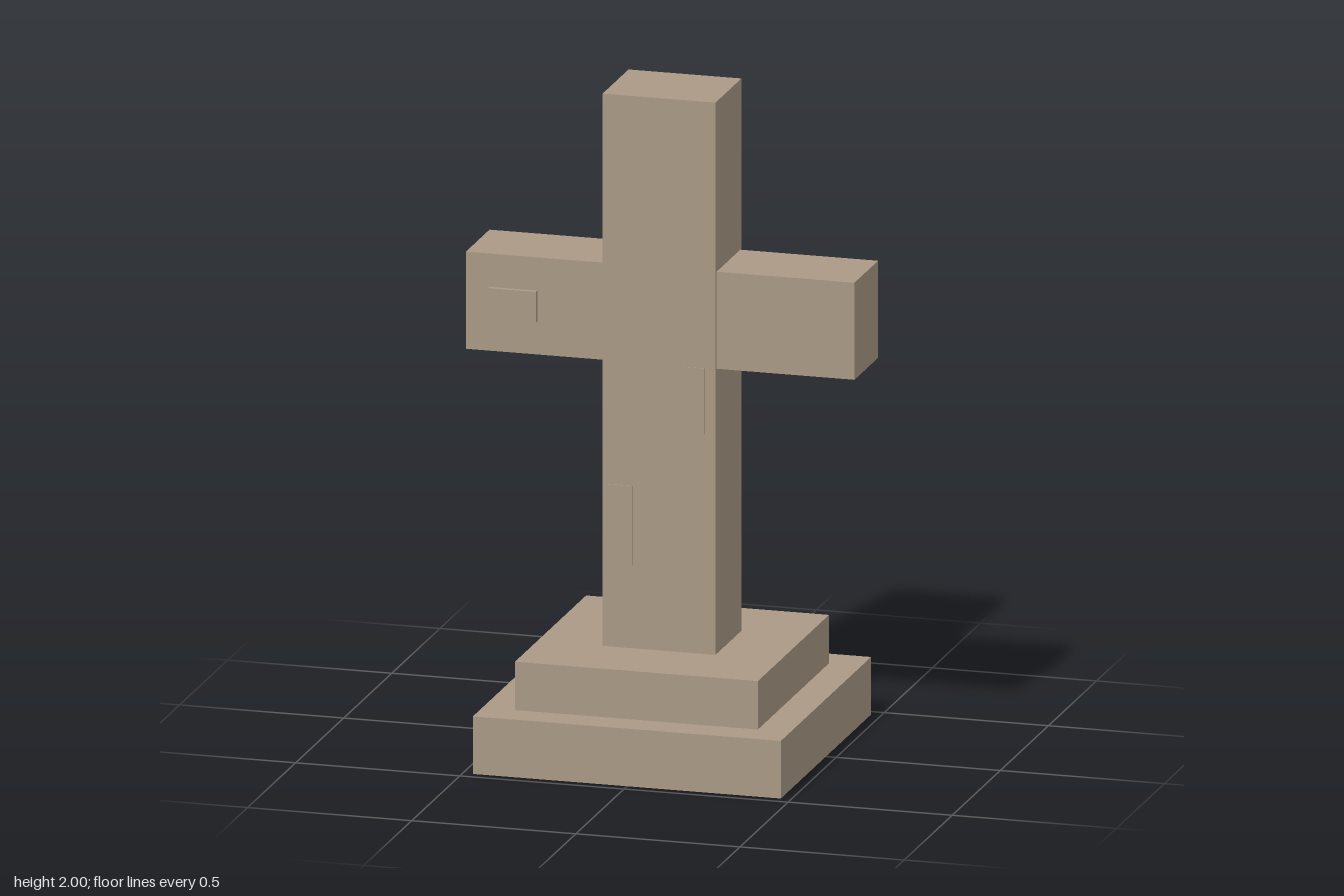
import * as THREE from 'three';

export function createModel() {
  const model = new THREE.Group();
  const stone = new THREE.MeshStandardMaterial({ color: 0xaa9985 });
  stone.name = 'stone';

  // Block centred on z, given by its x range, y range and depth
  function block(name, x0, x1, y0, y1, depth) {
    const mesh = new THREE.Mesh(new THREE.BoxGeometry(x1 - x0, y1 - y0, depth), stone);
    mesh.position.set((x0 + x1) / 2, (y0 + y1) / 2, 0);
    mesh.name = name;
    model.add(mesh);
  }

  // Stepped base
  block('lowerStep', -0.469, 0.469, 0, 0.175, 0.938);
  block('upperStep', -0.37, 0.37, 0.175, 0.322, 0.74);

  // Cross
  block('shaft', -0.172, 0.172, 0.322, 2, 0.27);
  for (const side of [-1, 1]) {
    const inner = side * 0.172, outer = side * 0.592;
    block(side > 0 ? 'leftArm' : 'rightArm', Math.min(inner, outer), Math.max(inner, outer), 1.188, 1.483, 0.246);
  }

  // Worn patches standing slightly proud of the front and back
  block('armPatch', -0.52, -0.374, 1.288, 1.382, 0.276);
  block('upperShaftPatch', 0.073, 0.14, 0.99, 1.19, 0.275);
  block('lowerShaftPatch', -0.168, -0.08, 0.575, 0.815, 0.275);

  return model;
}
